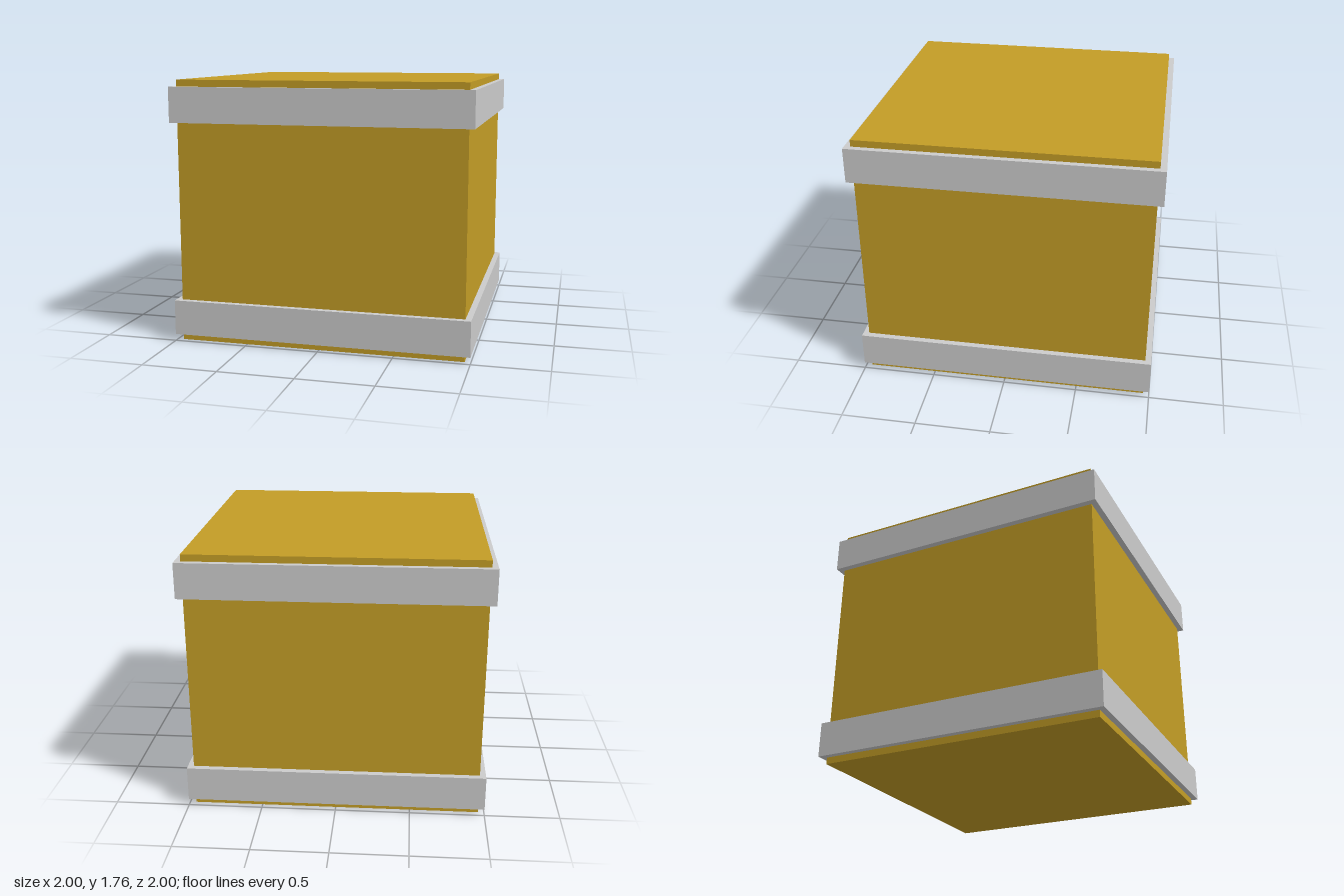
import * as THREE from 'three';

const WIDTH = 1.92, HEIGHT = 1.76;
const BAND_WIDTH = 2, BAND_HEIGHT = 0.235, BAND_INSET = 0.045;

export function createModel() {
  const model = new THREE.Group();
  model.name = 'bandedCrate';
  const gold = new THREE.MeshStandardMaterial({ color: 0xc39d26 });
  const grey = new THREE.MeshStandardMaterial({ color: 0xcccccc });

  const addBlock = (name, width, height, y, material) => {
    const mesh = new THREE.Mesh(new THREE.BoxGeometry(width, height, width), material);
    mesh.name = name;
    mesh.position.y = y;
    model.add(mesh);
  };

  // Crate body
  addBlock('body', WIDTH, HEIGHT, HEIGHT / 2, gold);

  // Bands wrapped around the body, the same distance from each end
  const bandY = BAND_INSET + BAND_HEIGHT / 2;
  addBlock('lowerBand', BAND_WIDTH, BAND_HEIGHT, bandY, grey);
  addBlock('upperBand', BAND_WIDTH, BAND_HEIGHT, HEIGHT - bandY, grey);

  return model;
}
